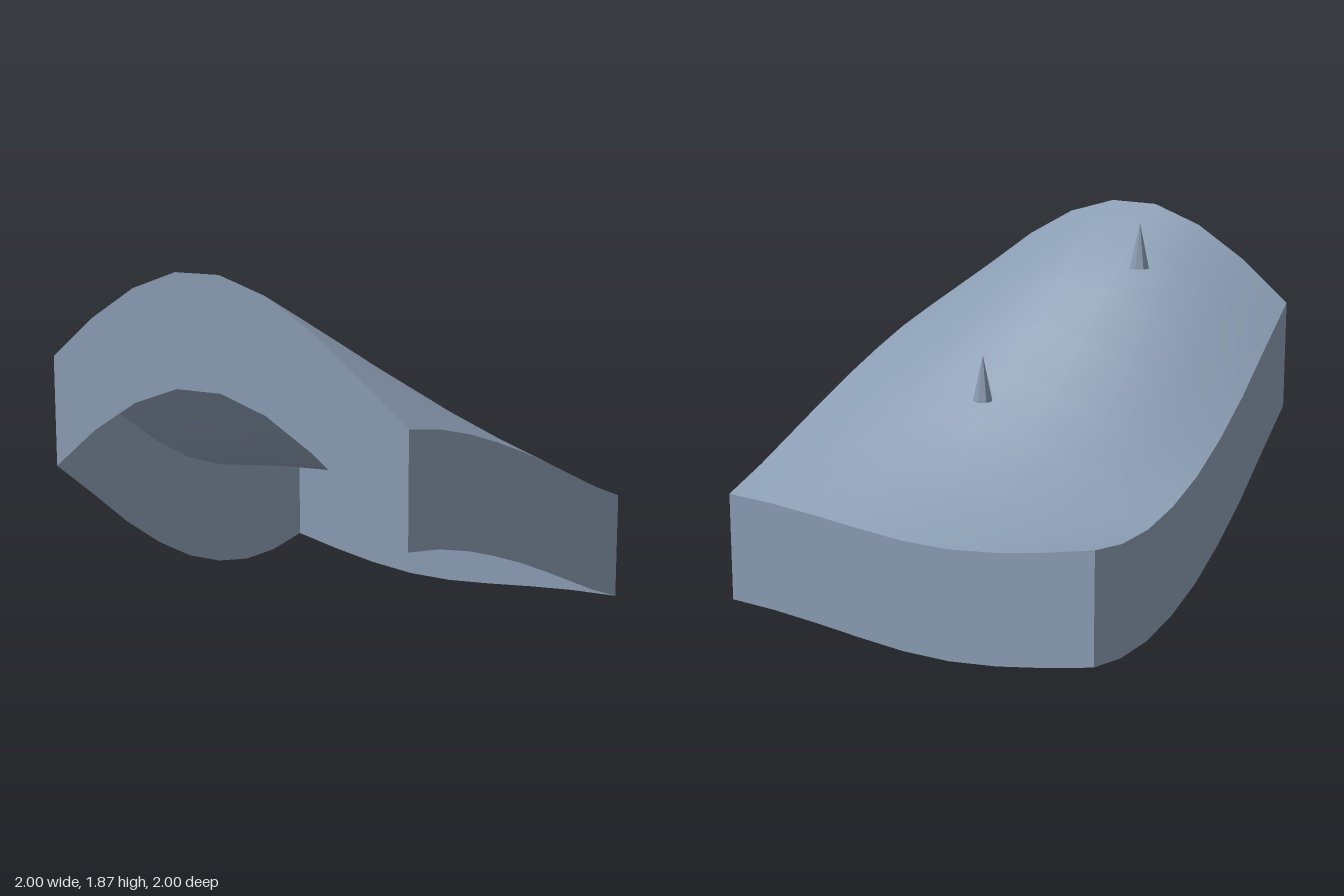
import * as THREE from 'three';

const SEG = 8, SKIRT = 0.534;

// Heights along the four edges, from -1 to 1 in steps of 0.25
const front = [1.414, 1.618, 1.774, 1.864, 1.868, 1.794, 1.655, 1.475, 1.284];
const back = [0.654, 0.602, 0.56, 0.535, 0.535, 0.555, 0.58, 0.6, 0.609];
const left = [0.609, 0.7, 0.805, 0.91, 1.01, 1.1, 1.18, 1.243, 1.284]; // x = 1
const right = [0.654, 0.615, 0.615, 0.66, 0.745, 0.873, 1.035, 1.228, 1.414]; // x = -1

const mix = THREE.MathUtils.lerp;

function along(edge, t) {
  const f = THREE.MathUtils.clamp((t + 1) * SEG / 2, 0, SEG);
  const i = Math.min(SEG - 1, Math.floor(f));
  return mix(edge[i], edge[i + 1], f - i);
}

// Patch blended between the four edges, with a slight uneven swell inside
function height(x, z) {
  const u = (x + 1) / 2, v = (z + 1) / 2;
  const across = mix(along(right, z), along(left, z), u);
  const deep = mix(along(back, x), along(front, x), v);
  const corners = mix(mix(back[0], back[SEG], u), mix(front[0], front[SEG], u), v);
  const swell = 0.045 + 0.075 * z + 0.06 * x - 0.09 * x * z;
  return across + deep - corners + swell * (1 - x * x) * (1 - z * z);
}

export function createModel() {
  const group = new THREE.Group();
  const slate = new THREE.MeshStandardMaterial({ color: 0x8a9cb2, side: THREE.DoubleSide });
  slate.name = 'slateBlue';
  const slateFlat = slate.clone();
  slateFlat.flatShading = true;

  const add = (name, geometry, material) => {
    const mesh = new THREE.Mesh(geometry, material);
    mesh.name = name;
    group.add(mesh);
    return mesh;
  };

  // Curved ground surface, open underneath
  const ground = new THREE.PlaneGeometry(2, 2, SEG, SEG).rotateX(-Math.PI / 2);
  const p = ground.attributes.position;
  for (let i = 0; i < p.count; i++) p.setY(i, height(p.getX(i), p.getZ(i)));
  ground.computeVertexNormals();
  add('terrainSurface', ground, slate);

  // Four skirt walls hanging from the edges, t running from -1 to 1
  const walls = {
    frontSkirt: t => [t, 1],
    leftSkirt: t => [1, -t],
    backSkirt: t => [-t, -1],
    rightSkirt: t => [-1, t],
  };
  for (const [name, at] of Object.entries(walls)) {
    const wall = new THREE.PlaneGeometry(2, 1, SEG, 1);
    const q = wall.attributes.position;
    for (let i = 0; i < q.count; i++) {
      const [x, z] = at(q.getX(i));
      q.setXYZ(i, x, height(x, z) - (q.getY(i) < 0 ? SKIRT : 0), z);
    }
    wall.computeVertexNormals();
    add(name, wall, slate);
  }

  // Small pointed spikes standing on the surface
  const spike = new THREE.ConeGeometry(0.05, 0.23, 7).rotateY(Math.PI).translate(0, 0.115, 0);
  for (const [x, y, z] of [[-0.335, 1.582, 0.665], [0.08, 1.012, -0.17]]) {
    add('spike', spike, slateFlat).position.set(x, y, z);
  }

  return group;
}
